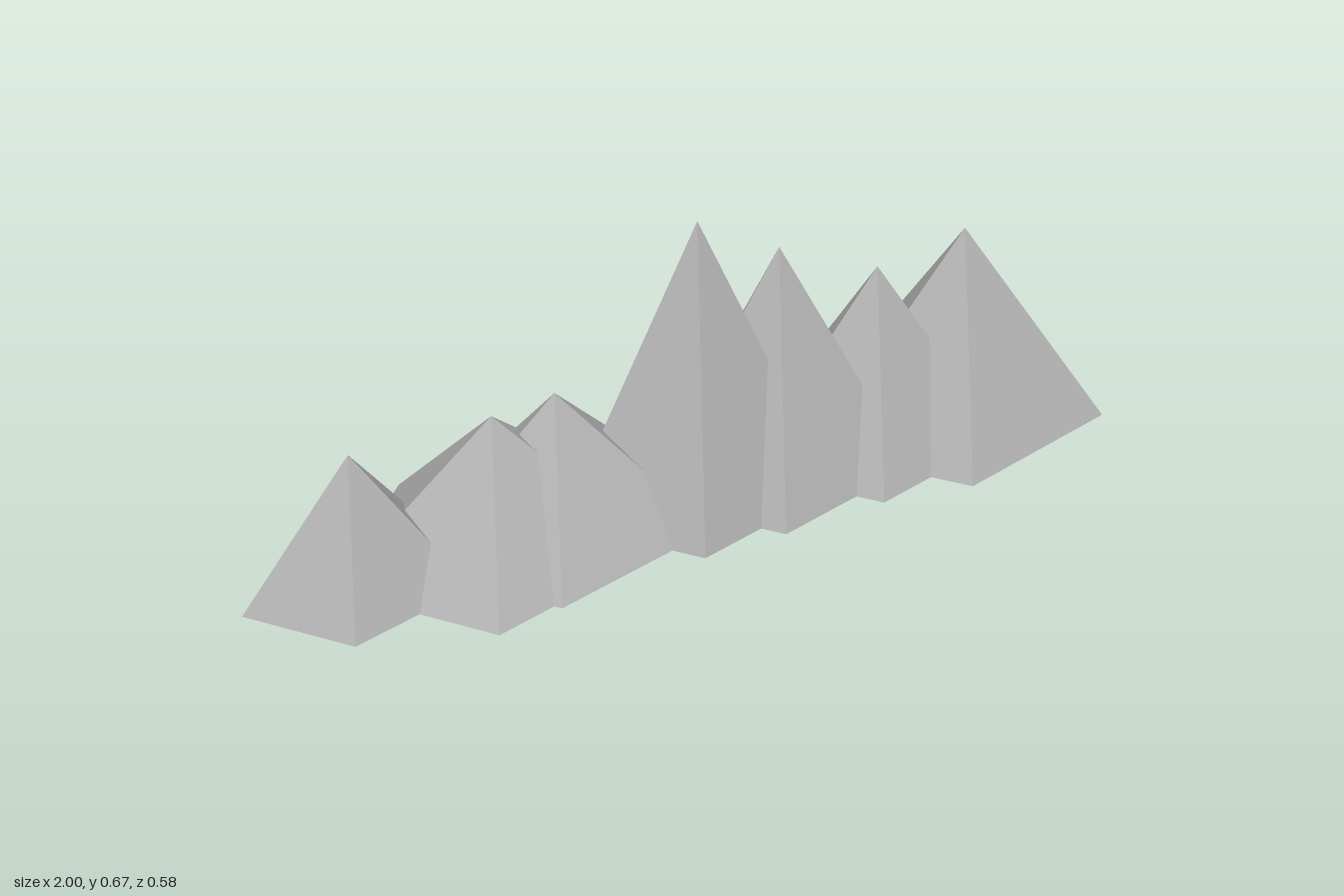
import * as THREE from 'three';

// Each peak: apex x, height, half-width along x, half-width along z
const PEAKS = [
  [-0.745, 0.327, 0.255, 0.203],
  [-0.433, 0.327, 0.375, 0.303],
  [-0.29, 0.342, 0.355, 0.279],
  [0.041, 0.67, 0.327, 0.259],
  [0.235, 0.558, 0.33, 0.261],
  [0.48, 0.445, 0.325, 0.255],
  [0.7, 0.485, 0.371, 0.291],
];

// Five-sided pyramid with one corner pointing to -x, standing on y = 0
function peakGeometry(height, rx, rz) {
  const cone = new THREE.ConeGeometry(1, height, 5, 1, false, -Math.PI / 2);
  cone.translate(0, height / 2, 0);
  cone.scale(rx, 1, rz);
  const flat = cone.toNonIndexed();
  flat.computeVertexNormals();
  return flat;
}

export function createModel() {
  const group = new THREE.Group();
  group.name = 'mountainRange';

  const rock = new THREE.MeshStandardMaterial({ color: 0xb0b0b0 });
  rock.name = 'rockGrey';
  rock.flatShading = true;

  // Overlapping row of peaks
  PEAKS.forEach(([x, height, rx, rz], i) => {
    const peak = new THREE.Mesh(peakGeometry(height, rx, rz), rock);
    peak.name = `peak${i + 1}`;
    peak.position.x = x;
    group.add(peak);
  });

  return group;
}
